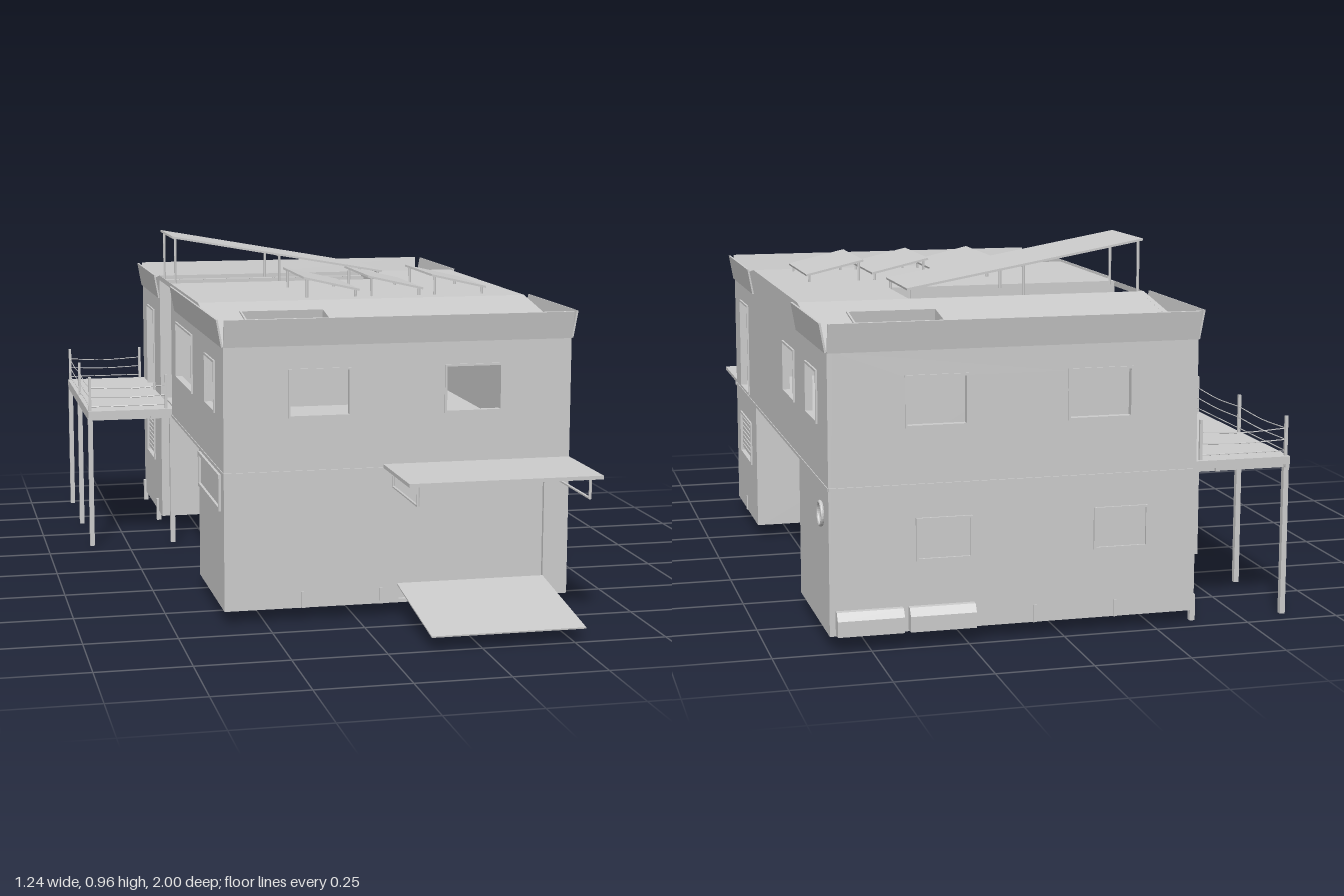
import * as THREE from 'three';

const mat = new THREE.MeshStandardMaterial({ color: 0xcccccc, flatShading: true, side: THREE.DoubleSide });
const T = 0.015; // wall thickness
const X0 = -0.36, X1 = 0.6, Z0 = -0.97, Z1 = 0.645, BASE = 0.035, FLOOR = 0.41, EAVE = 0.75, ROOF = 0.82;
const ZB = -0.55, ZF = 0.23; // inner faces of the two ground-floor units

export function createModel() {
  const root = new THREE.Group();

  const add = (name, geo) => {
    const m = new THREE.Mesh(geo, mat);
    m.name = name;
    root.add(m);
    return m;
  };
  // box given by its min and max corners
  const box = (name, x0, x1, y0, y1, z0, z1) => {
    const m = add(name, new THREE.BoxGeometry(x1 - x0, y1 - y0, z1 - z0));
    m.position.set((x0 + x1) / 2, (y0 + y1) / 2, (z0 + z1) / 2);
    return m;
  };
  // round bar between two points
  const bar = (name, a, b, r = 0.004, sides = 6) => {
    const p = new THREE.Vector3(...a), q = new THREE.Vector3(...b);
    const m = add(name, new THREE.CylinderGeometry(r, r, p.distanceTo(q), sides));
    m.position.copy(p).lerp(q, 0.5);
    m.quaternion.setFromUnitVectors(new THREE.Vector3(0, 1, 0), q.sub(p).normalize());
  };
  const vec = list => list.map(p => new THREE.Vector2(...p));
  const rect = ([a0, a1, b0, b1]) => vec([[a0, b0], [a1, b0], [a1, b1], [a0, b1]]);
  // flat plate with rectangular holes, each hole = [a0, a1, b0, b1]
  const plate = (name, outline, holes = [], depth = T) => {
    const s = new THREE.Shape(outline);
    holes.forEach(h => s.holes.push(new THREE.Path(rect(h).reverse())));
    return add(name, new THREE.ExtrudeGeometry(s, { depth, bevelEnabled: false }));
  };
  const grow = ([a0, a1, b0, b1], g) => [a0 - g, a1 + g, b0 - g, b1 + g];
  const onZ = (m, z) => m.position.setZ(z);
  const onX = (m, x) => { m.rotation.y = -Math.PI / 2; m.position.x = x; };

  // end walls with windows and the garage doorway
  const upperWindows = [[-0.18, -0.02, 0.56, 0.68], [0.25, 0.4, 0.56, 0.68]];
  const garage = [0.12, 0.53, 0.045, 0.39];
  const endWall = rect([X0 + T, X1 - T, BASE, EAVE]);
  onZ(plate('frontWall', endWall, [...upperWindows, garage]), Z1 - T);
  onZ(plate('backWall', endWall, upperWindows), Z0);
  box('garageDoor', 0.12, 0.53, 0.045, 0.39, Z1 - 0.02, Z1 - 0.012);
  upperWindows.forEach(w => {
    onZ(plate('frontWindowFrame', rect(grow(w, 0.006)), [w], 0.01), Z1 - 0.006);
    onZ(plate('backWindowFrame', rect(grow(w, 0.006)), [w], 0.01), Z0 - 0.004);
  });
  for (const x of [-0.23, 0.235]) {
    const w = [x, x + 0.145, 0.215, 0.325];
    onZ(plate('backHatchFrame', rect(w), [grow(w, -0.006)], 0.01), Z0 - 0.006);
  }

  // long side walls: two ground units bridged by the upper floor; coordinates are [z, y]
  const side = [[Z1, BASE], [Z1, EAVE], [ZF, ROOF], [ZB, ROOF], [Z0, EAVE], [Z0, BASE], [ZB, BASE], [ZB, FLOOR], [ZF, FLOOR], [ZF, BASE]];
  const leftSide = [...side.slice(0, 3), [-0.3, ROOF], [-0.3, FLOOR + 0.01], [ZB, FLOOR + 0.01], ...side.slice(3)];
  const rightHoles = [[0.36, 0.51, 0.425, 0.69], [-0.49, -0.32, 0.55, 0.68], [-0.83, -0.68, 0.555, 0.68], [0.33, 0.54, 0.21, 0.33]];
  const leftHoles = [[0.36, 0.51, 0.56, 0.69], [-0.18, 0.12, 0.55, 0.71], [-0.84, -0.69, 0.43, 0.69], [-0.86, -0.7, 0.2, 0.33]];
  onX(plate('rightWall', vec(side), rightHoles), X1);
  onX(plate('leftWall', vec(leftSide), leftHoles), X0 + T);
  rightHoles.forEach(h => onX(plate('rightWindowFrame', rect(grow(h, 0.006)), [h], 0.01), X1 + 0.005));
  leftHoles.forEach(h => onX(plate('leftWindowFrame', rect(grow(h, 0.006)), [h], 0.01), X0 + 0.005));
  const transom = [0.25, 0.6, 0.3, 0.4];
  onX(plate('leftTransomFrame', rect(transom), [grow(transom, -0.01)], 0.01), X0 + 0.003);

  // louvre slats
  for (let i = 0; i < 8; i++) {
    const y = 0.22 + i * 0.0145;
    box('rightLouvre', X1 - 0.012, X1 - 0.002, y, y + 0.01, 0.33, 0.54);
    box('leftLouvre', X0 + 0.002, X0 + 0.012, y - 0.01, y, -0.86, -0.7);
  }

  // inner faces of the ground units with doorways facing the passage
  const innerWall = rect([X0 + T, X1 - T, BASE, FLOOR]);
  const doors = [[-0.25, -0.07, 0.05, 0.39], [0.32, 0.51, 0.05, 0.39]];
  onZ(plate('frontUnitInnerWall', innerWall, [doors[0]]), ZF);
  onZ(plate('backUnitInnerWall', innerWall, [doors[1]]), ZB - T);
  onZ(plate('frontUnitDoorFrame', rect(grow(doors[0], 0.008)), [doors[0]], 0.01), ZF - 0.005);
  onZ(plate('backUnitDoorFrame', rect(grow(doors[1], 0.008)), [doors[1]], 0.01), ZB - 0.005);

  // floors, the lower ones set up inside the wall rim
  box('frontUnitFloor', X0 + T, X1 - T, BASE + 0.015, BASE + 0.025, ZF + T, Z1 - T);
  box('backUnitFloor', X0 + T, X1 - T, BASE + 0.015, BASE + 0.025, Z0 + T, ZB - T);
  const flat = (m, y, tilt = 0, z = 0) => { m.rotation.x = Math.PI / 2 + tilt; m.position.set(0, y, z); };
  flat(plate('upperFloor', rect([X0 + T, X1 - T, Z0 + T, Z1 - T]), [[-0.3, 0.3, -0.53, -0.31]], 0.01), FLOOR + 0.015);

  // roof: flat middle with stairwell opening, ends falling outwards with skylight shafts
  const well = [X0 + 0.001, 0.3, ZB + 0.002, -0.3];
  flat(plate('middleRoof', rect([X0, X1, ZB, ZF]), [well]), ROOF);
  const fall = Math.atan2(ROOF - EAVE, Z1 - ZF);
  const skyF = [-0.26, -0.02, 0.11, 0.29], skyB = [0.25, 0.49, -0.29, -0.11];
  flat(plate('frontRoof', rect([X0, X1, 0, 0.42]), [skyF]), ROOF, fall, ZF);
  flat(plate('backRoof', rect([X0, X1, -0.425, 0]), [skyB]), ROOF, -fall, ZB);
  flat(plate('frontSkylightShaft', rect(skyF), [grow(skyF, -0.005)], 0.045), ROOF + 0.005, fall, ZF);
  flat(plate('backSkylightShaft', rect(skyB), [grow(skyB, -0.005)], 0.045), ROOF + 0.005, -fall, ZB);

  // separate fascia boards, leaning outwards with open corners
  const board = (name, len, x, z, turn) => {
    const m = add(name, new THREE.BoxGeometry(len, 0.075, 0.005));
    m.rotation.set(0.18, turn, 0, 'YXZ');
    m.position.set(x, 0.785, z);
  };
  const midX = (X0 + X1) / 2, zf = (ZF + Z1) / 2, zb = (ZB + Z0) / 2;
  board('frontFascia', 0.96, midX, Z1 + 0.009, 0);
  board('backFascia', 0.96, midX, Z0 - 0.009, Math.PI);
  for (const z of [zf, zb]) {
    board('rightFascia', 0.415, X1 + 0.009, z, Math.PI / 2);
    board('leftFascia', 0.415, X0 - 0.009, z, -Math.PI / 2);
  }
  board('leftMiddleFascia', 0.43, X0 - 0.009, 0.015, -Math.PI / 2);

  // joint strips between the storeys
  box('frontJoint', X0, X1, 0.404, 0.412, Z1, Z1 + 0.004);
  box('backJoint', X0, X1, 0.404, 0.412, Z0 - 0.004, Z0);
  for (const x of [X0 - 0.002, X1 - 0.002]) box('sideJoint', x, x + 0.004, 0.404, 0.412, Z0, Z1);

  // small brackets along the bottom edges
  for (const x of [-0.145, 0.07]) {
    box('baseBracket', x - 0.005, x + 0.005, BASE, 0.08, Z1, Z1 + 0.004);
    box('baseBracket', x - 0.005, x + 0.005, BASE, 0.08, Z0 - 0.004, Z0);
  }
  box('baseBracket', X1, X1 + 0.003, BASE, 0.08, 0.445, 0.455);

  // stairwell enclosure
  box('stairwellBackWall', X0, 0.32, FLOOR, ROOF - T, ZB - 0.01, ZB);
  box('stairwellFrontWall', X0, 0.32, FLOOR, ROOF - T, -0.3, -0.29);
  box('stairwellEndWall', 0.31, 0.32, FLOOR, ROOF - T, ZB, -0.3);

  // stairs, landing and round post
  for (let i = 0; i < 17; i++) {
    const x = 0.32 - i * 0.037, y = 0.07 + i * 0.021;
    box('stairTread', x - 0.04, x, y, y + 0.006, -0.53, -0.31);
  }
  for (const z of [-0.535, -0.305]) bar('stairStringer', [0.32, 0.05, z], [-0.3, 0.4, z], 0.007);
  box('landing', 0.32, 0.54, 0.05, 0.06, -0.54, -0.3);
  for (const x of [0.33, 0.53]) box('landingFoot', x - 0.008, x + 0.008, BASE, 0.05, -0.316, -0.3);
  bar('roundPost', [0.54, 0, -0.47], [0.54, FLOOR, -0.47], 0.02, 20);

  // thin slab sloping along x
  const tilted = (name, x0, y0, x1, y1, z0, z1) => {
    const half = Math.hypot(x1 - x0, y1 - y0) / 2;
    const m = box(name, -half, half, 0, 0.006, z0, z1);
    m.rotation.z = Math.atan2(y1 - y0, x1 - x0);
    m.position.set((x0 + x1) / 2, (y0 + y1) / 2, (z0 + z1) / 2);
  };

  // canopy over the stairwell with posts and cross rails
  tilted('canopy', -0.355, 0.962, 0.305, 0.845, -0.55, -0.29);
  for (const x of [-0.345, -0.02, 0.295]) {
    const y = 0.9 - 0.177 * (x + 0.01);
    for (const z of [-0.54, -0.3]) bar('canopyPost', [x, ROOF - 0.01, z], [x, y, z]);
    bar('canopyRail', [x, y - 0.003, -0.54], [x, y - 0.003, -0.3]);
  }

  // three tilted roof panels on legs
  for (const x of [-0.045, 0.145, 0.335]) {
    tilted('roofPanel', x, 0.878, x + 0.165, 0.84, -0.12, 0.18);
    for (const z of [-0.11, 0.17]) {
      bar('panelLeg', [x + 0.012, ROOF, z], [x + 0.012, 0.874, z]);
      bar('panelLeg', [x + 0.155, ROOF, z], [x + 0.155, 0.842, z]);
    }
  }

  // raised deck on posts with cable railing
  box('deck', -0.62, X0, 0.41, 0.43, Z0, -0.3);
  for (const x of [-0.613, -0.42]) box('deckBeam', x - 0.006, x + 0.006, 0.4, 0.412, Z0, -0.3);
  const posts = [-0.955, -0.635, -0.315];
  for (const z of posts) {
    box('deckLeg', -0.62, -0.606, 0.005, FLOOR, z - 0.008, z + 0.008);
    box('railPost', -0.617, -0.609, 0.43, 0.535, z - 0.004, z + 0.004);
    box('deckCrossBeam', -0.613, X0, 0.4, 0.412, z - 0.006, z + 0.006);
    box('wallLeg', X0 - 0.007, X0 + 0.007, 0.005, z > -0.4 ? FLOOR : BASE + 0.04, z - 0.008, z + 0.008);
  }
  for (const z of [posts[0], posts[2]]) box('railPost', -0.381, -0.373, 0.43, 0.535, z - 0.004, z + 0.004);
  const cable = (a, b, y, sag) => {
    const mid = [(a[0] + b[0]) / 2, y - sag, (a[1] + b[1]) / 2];
    const c = new THREE.CatmullRomCurve3(vec3([[a[0], y, a[1]], mid, [b[0], y, b[1]]]));
    add('railCable', new THREE.TubeGeometry(c, 8, 0.0015, 5));
  };
  const vec3 = list => list.map(p => new THREE.Vector3(...p));
  [[0.442, 0], [0.472, 0.004], [0.502, 0.006]].forEach(([y, sag]) => {
    for (const z of [posts[0], posts[2]]) cable([-0.613, z], [-0.377, z], y, sag);
    for (let i = 0; i < 2; i++) cable([-0.613, posts[i]], [-0.613, posts[i + 1]], y, sag);
  });

  // awning over the garage with hanging brackets
  box('awning', 0.075, X1, 0.41, 0.42, Z1, 0.915);
  for (const x of [0.1, 0.565]) {
    bar('awningBracket', [x, 0.36, 0.66], [x, 0.36, 0.91]);
    for (const z of [0.66, 0.91]) bar('awningBracket', [x, 0.36, z], [x, 0.412, z]);
  }

  // garage ramp
  const ramp = box('ramp', 0.115, 0.53, 0, 0.004, Z1, Z1 + 0.358);
  ramp.rotation.x = Math.atan2(0.05, 0.355);
  ramp.position.set(0.3225, 0.062, 0.822);

  // twin tanks with chamfered tops on the back wall
  const tank = [[0, 0.04], [0.03, 0.04], [0.03, 0.08], [0.016, 0.1], [0, 0.1]];
  for (const x of [0.4, 0.585]) {
    const m = plate('backTank', vec(tank), [], 0.17);
    m.rotation.y = Math.PI / 2;
    m.position.set(x - 0.17, 0, Z0);
  }

  // porthole on the right side
  const porthole = add('porthole', new THREE.TorusGeometry(0.029, 0.005, 8, 28));
  porthole.rotation.y = Math.PI / 2;
  porthole.position.set(X1 + 0.004, 0.33, -0.88);

  return root;
}
